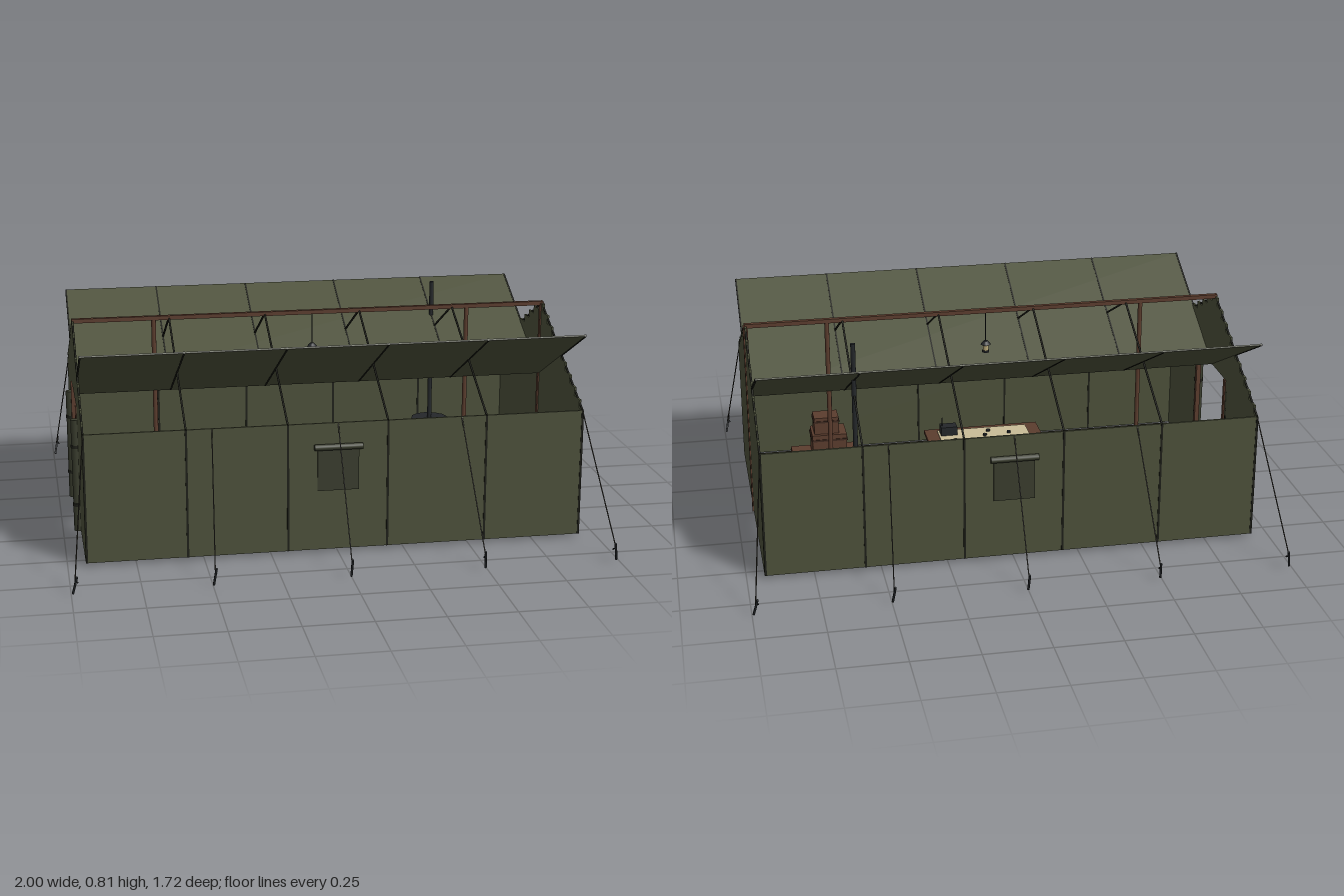
import * as THREE from 'three';

const mat = (color, extra = {}) => new THREE.MeshStandardMaterial({ color, ...extra });
const canvas = mat(0x4d513b, { side: THREE.DoubleSide });
const darkCanvas = mat(0x3a3d2e);
const seamMat = mat(0x1e1f18);
const wood = mat(0x5c3d2e);
const metal = mat(0x24272a);
const rope = mat(0x2b2820);
const paper = mat(0xc9bd98);

// Main dimensions: half length, half width, eave and ridge heights
const L = 0.93, W = 0.56, EAVE = 0.5, RIDGE = 0.787, BASE = 0.012;
const SLOPE = Math.atan2(RIDGE - EAVE, W);
const RAFTER = Math.hypot(W, RIDGE - EAVE);

export function createModel() {
  const root = new THREE.Group();

  const add = (name, geo, material, x = 0, y = 0, z = 0, parent = root) => {
    const m = new THREE.Mesh(geo, material);
    m.name = name;
    m.position.set(x, y, z);
    parent.add(m);
    return m;
  };
  const box = (name, w, h, d, material, x, y, z, parent) =>
    add(name, new THREE.BoxGeometry(w, h, d), material, x, y, z, parent);
  const cyl = (name, r, h, material, x, y, z, parent, r2 = r) =>
    add(name, new THREE.CylinderGeometry(r2, r, h, 12), material, x, y, z, parent);
  // Thin rod between two points
  const rod = (name, a, b, r, material, parent) => {
    const p = new THREE.Vector3(...a), q = new THREE.Vector3(...b);
    const m = add(name, new THREE.CylinderGeometry(r, r, p.distanceTo(q), 6), material, 0, 0, 0, parent);
    m.position.copy(p).add(q).multiplyScalar(0.5);
    m.quaternion.setFromUnitVectors(new THREE.Vector3(0, 1, 0), q.sub(p).normalize());
    return m;
  };
  const group = (name, x = 0, y = 0, z = 0) => {
    const g = new THREE.Group();
    g.name = name;
    g.position.set(x, y, z);
    root.add(g);
    return g;
  };

  // Ground sheet
  box('groundSheet', 2 * L - 0.03, 0.008, 2 * W - 0.03, mat(0x37332a), 0, 0.01, 0);

  // Gable walls with a stepped top; the left-out doorway is on the -x end
  const gable = (door) => {
    const s = new THREE.Shape();
    const step = W / 9;
    s.moveTo(-W, BASE);
    for (let i = -9; i <= 9; i++) {
      const top = RIDGE - (Math.abs(i) * step / W) * (RIDGE - EAVE);
      s.lineTo(Math.max(-W, (i - 0.5) * step), top);
      s.lineTo(Math.min(W, (i + 0.5) * step), top);
    }
    s.lineTo(W, BASE);
    if (door) {
      s.lineTo(0.19, BASE);
      s.lineTo(0.19, EAVE);
      s.lineTo(-0.19, EAVE);
      s.lineTo(-0.19, BASE);
    }
    const g = new THREE.ExtrudeGeometry(s, { depth: 0.008, bevelEnabled: false });
    return g.translate(0, 0, -0.004).rotateY(Math.PI / 2);
  };
  add('plainGable', gable(false), canvas, L, 0, 0);
  add('doorGable', gable(true), canvas, -L, 0, 0);

  const seamXs = [-L, -0.56, -0.187, 0.187, 0.56, L];
  for (const s of [1, -1]) {
    // Long wall
    box('sideWall', 2 * L, EAVE - BASE, 0.008, canvas, 0, (EAVE + BASE) / 2, s * W);

    // Roof sheet hinged up outwards, low along the centre line
    const sheet = group('roofSheet', 0, (EAVE + RIDGE) / 2, s * W / 2);
    sheet.rotation.x = -s * SLOPE;
    box('roofCanvas', 2 * L, 0.006, RAFTER, canvas, 0, 0, 0, sheet);

    for (const x of seamXs) {
      box('wallSeam', 0.008, EAVE - BASE, 0.012, seamMat, x, (EAVE + BASE) / 2, s * W);
      box('roofSeam', 0.006, 0.009, RAFTER, seamMat, x, 0, 0, sheet);
      // Sloping cord from ridge to eave
      rod('rafterCord', [x, RIDGE, 0], [x, EAVE, s * W], 0.004, seamMat);
    }

    // Window with rolled cover
    const win = group('window', 0, 0, s * (W + 0.005));
    box('windowMesh', 0.155, 0.17, 0.008, darkCanvas, 0, 0.327, 0, win);
    cyl('rolledCover', 0.012, 0.18, darkCanvas, 0, 0.41, s * 0.007, win).rotation.z = Math.PI / 2;

    // Guy ropes and leaning stakes
    for (const x of [-L, -0.465, 0, 0.465, L]) {
      const k = 1.06 * x;
      rod('guyRope', [x, EAVE, s * W], [k, 0.05, s * 0.843], 0.0022, rope);
      rod('stake', [k * 1.008, 0.002, s * 0.828], [k * 0.993, 0.073, s * 0.855], 0.0045, metal);
      rod('stakeHook', [k * 0.998, 0.055, s * 0.848], [k * 0.99, 0.045, s * 0.835], 0.003, metal);
    }

    // Door posts and tied-back door flaps
    box('doorPost', 0.018, EAVE - BASE, 0.018, wood, -L, (EAVE + BASE) / 2, s * 0.18);
    cyl('rolledDoorFlap', 0.017, 0.44, darkCanvas, -L - 0.012, 0.235, s * 0.205);
    for (const y of [0.12, 0.35]) cyl('flapTie', 0.019, 0.012, seamMat, -L - 0.012, y, s * 0.205);
  }

  // Ridge beam and upright poles
  box('ridgeBeam', 2 * L + 0.008, 0.016, 0.018, wood, 0, RIDGE, 0);
  for (const x of [-0.62, 0.62]) cyl('ridgePole', 0.009, RIDGE - BASE, wood, x, (RIDGE + BASE) / 2, 0);
  box('endPole', 0.018, RIDGE - BASE, 0.02, wood, L, (RIDGE + BASE) / 2, 0);

  // Hanging lamp
  const lamp = group('lamp');
  rod('lampCord', [0, RIDGE, 0], [0, 0.66, 0], 0.002, metal, lamp);
  cyl('lampShade', 0.02, 0.014, metal, 0, 0.655, 0, lamp, 0.008);
  cyl('lampGlass', 0.011, 0.024, mat(0xb8a878), 0, 0.636, 0, lamp);
  cyl('lampBase', 0.014, 0.008, metal, 0, 0.62, 0, lamp);

  // Table with map, markers, radio and mug
  const table = group('table');
  box('tableTop', 0.46, 0.014, 0.25, wood, 0, 0.24, 0, table);
  box('map', 0.36, 0.003, 0.2, paper, 0, 0.249, 0, table);
  for (const x of [-0.2, 0.2])
    for (const z of [-0.1, 0.1]) box('tableLeg', 0.016, 0.22, 0.016, wood, x, 0.124, z, table);
  for (const [x, z] of [[-0.1, 0.03], [-0.06, -0.04], [0, 0.02], [0.03, -0.06], [-0.02, 0.06]])
    cyl('mapMarker', 0.008, 0.008, metal, x, 0.254, z, table);
  box('radio', 0.065, 0.035, 0.045, metal, 0.14, 0.268, 0.066, table);
  rod('radioAerial', [0.165, 0.285, 0.066], [0.165, 0.32, 0.066], 0.002, metal, table);
  cyl('mug', 0.011, 0.024, darkCanvas, 0.13, 0.262, -0.05, table);

  // Folding stools
  for (const x of [-0.32, 0.32]) {
    const stool = group('stool', x, 0, 0);
    box('stoolSeat', 0.1, 0.01, 0.1, darkCanvas, 0, 0.135, 0, stool);
    for (const z of [-0.04, 0.04]) {
      rod('stoolLeg', [-0.045, 0.014, z], [0.045, 0.13, z], 0.005, wood, stool);
      rod('stoolLeg', [0.045, 0.014, z], [-0.045, 0.13, z], 0.005, wood, stool);
    }
  }

  // Stacked crates
  const crates = group('crates', 0.6, 0.014, 0.3);
  for (const [x, y, z, w, h, d] of [[-0.06, 0, 0, 0.13, 0.1, 0.13], [0.085, 0, 0, 0.13, 0.1, 0.13],
    [0, 0.1, 0, 0.14, 0.09, 0.11], [0.01, 0.19, 0, 0.1, 0.07, 0.08]]) {
    box('crate', w, h, d, wood, x, y + h / 2, z, crates);
    box('crateBand', w + 0.006, 0.008, d + 0.006, mat(0x3f2a20), x, y + h * 0.75, z, crates);
  }

  // Stove with tall pipe
  const stove = group('stove', 0.56, 0, -0.34);
  cyl('stoveBody', 0.07, 0.17, metal, 0, 0.135, 0, stove);
  cyl('stoveTop', 0.076, 0.012, metal, 0, 0.226, 0, stove);
  box('stoveDoor', 0.06, 0.06, 0.012, seamMat, 0, 0.12, 0.068, stove);
  for (const x of [-0.045, 0.045])
    for (const z of [-0.045, 0.045]) cyl('stoveLeg', 0.006, 0.04, metal, x, 0.034, z, stove);
  cyl('stovePipe', 0.009, 0.585, metal, 0, 0.5225, 0, stove);

  return root;
}
